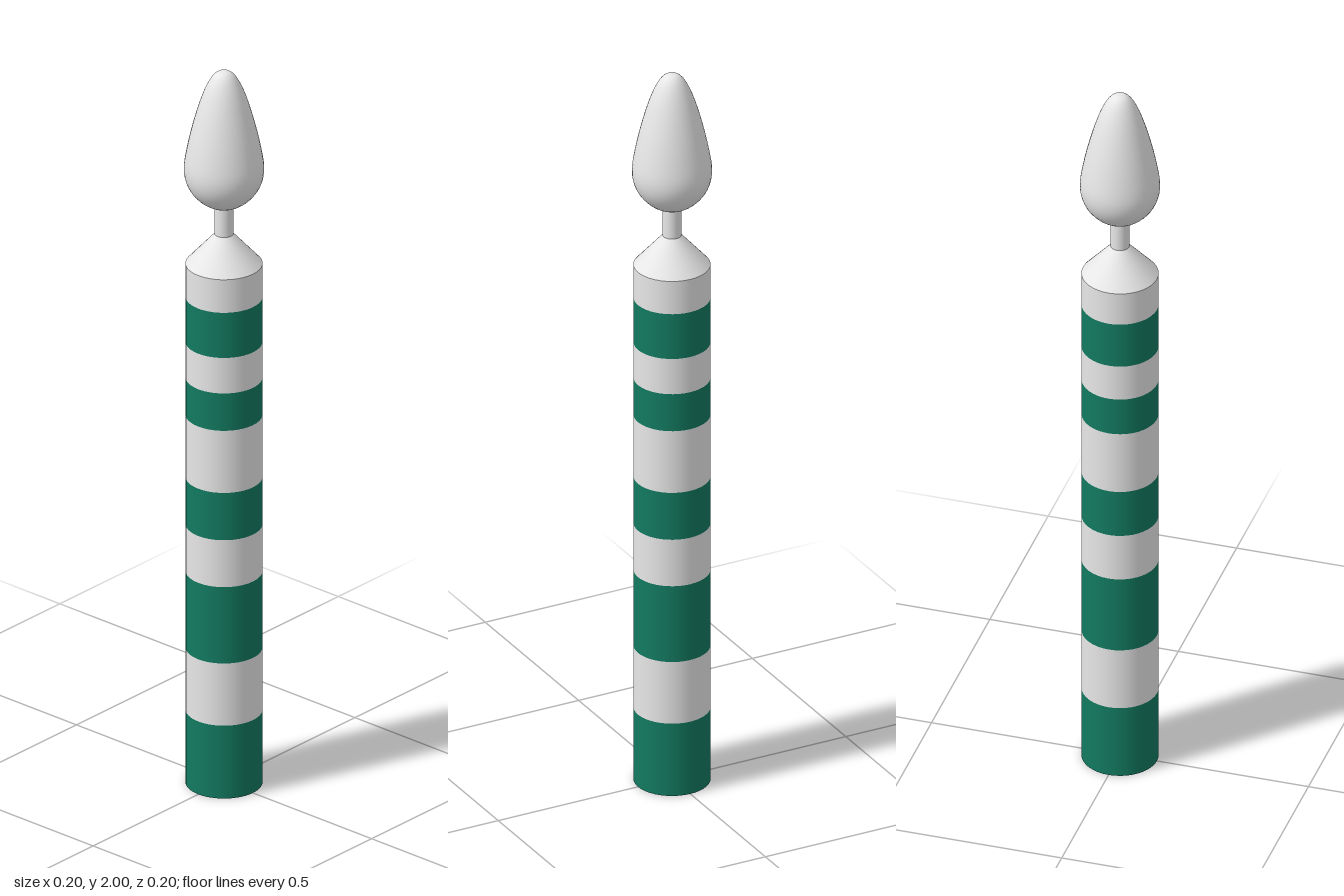
import * as THREE from 'three';

const SEGMENTS = 40;
const RADIUS = 0.098;

export function createModel() {
  const white = new THREE.MeshStandardMaterial({ color: 0xf0f0f0 });
  white.name = 'white wax';
  const green = new THREE.MeshStandardMaterial({ color: 0x127a60 });
  green.name = 'green stripe';

  const model = new THREE.Group();
  model.name = 'candle';

  const add = (name, geometry, material, y = 0) => {
    const mesh = new THREE.Mesh(geometry, material);
    mesh.name = name;
    mesh.position.y = y;
    model.add(mesh);
  };

  // open tapered tube between two heights
  const tube = (name, bottom, top, rBottom, rTop, material) =>
    add(name, new THREE.CylinderGeometry(rTop, rBottom, top - bottom, SEGMENTS, 1, true),
      material, (bottom + top) / 2);

  // striped body, alternating green and white from the base up
  const levels = [0, 0.205, 0.38, 0.595, 0.727, 0.86, 1.035, 1.14, 1.24, 1.367, 1.46];
  for (let i = 0; i < levels.length - 1; i++) {
    const isGreen = i % 2 === 0;
    tube(`${isGreen ? 'green' : 'white'}Stripe${i + 1}`, levels[i], levels[i + 1],
      RADIUS, RADIUS, isGreen ? green : white);
  }

  // base disc facing down
  add('base', new THREE.CircleGeometry(RADIUS, SEGMENTS).rotateX(Math.PI / 2), green);

  // sloped shoulder and wick
  tube('shoulder', 1.46, 1.543, RADIUS, 0.024, white);
  tube('wick', 1.543, 1.63, 0.024, 0.024, white);

  // teardrop flame
  const profile = new THREE.SplineCurve([
    [0, 1.617], [0.032, 1.623], [0.066, 1.645], [0.092, 1.68], [0.102, 1.725],
    [0.094, 1.785], [0.077, 1.86], [0.056, 1.93], [0.036, 1.975], [0.018, 1.996], [0, 2],
  ].map(([r, y]) => new THREE.Vector2(r, y)));
  const points = profile.getPoints(36).map((p) => new THREE.Vector2(Math.max(p.x, 0), p.y));
  add('flame', new THREE.LatheGeometry(points, SEGMENTS), white);

  return model;
}
